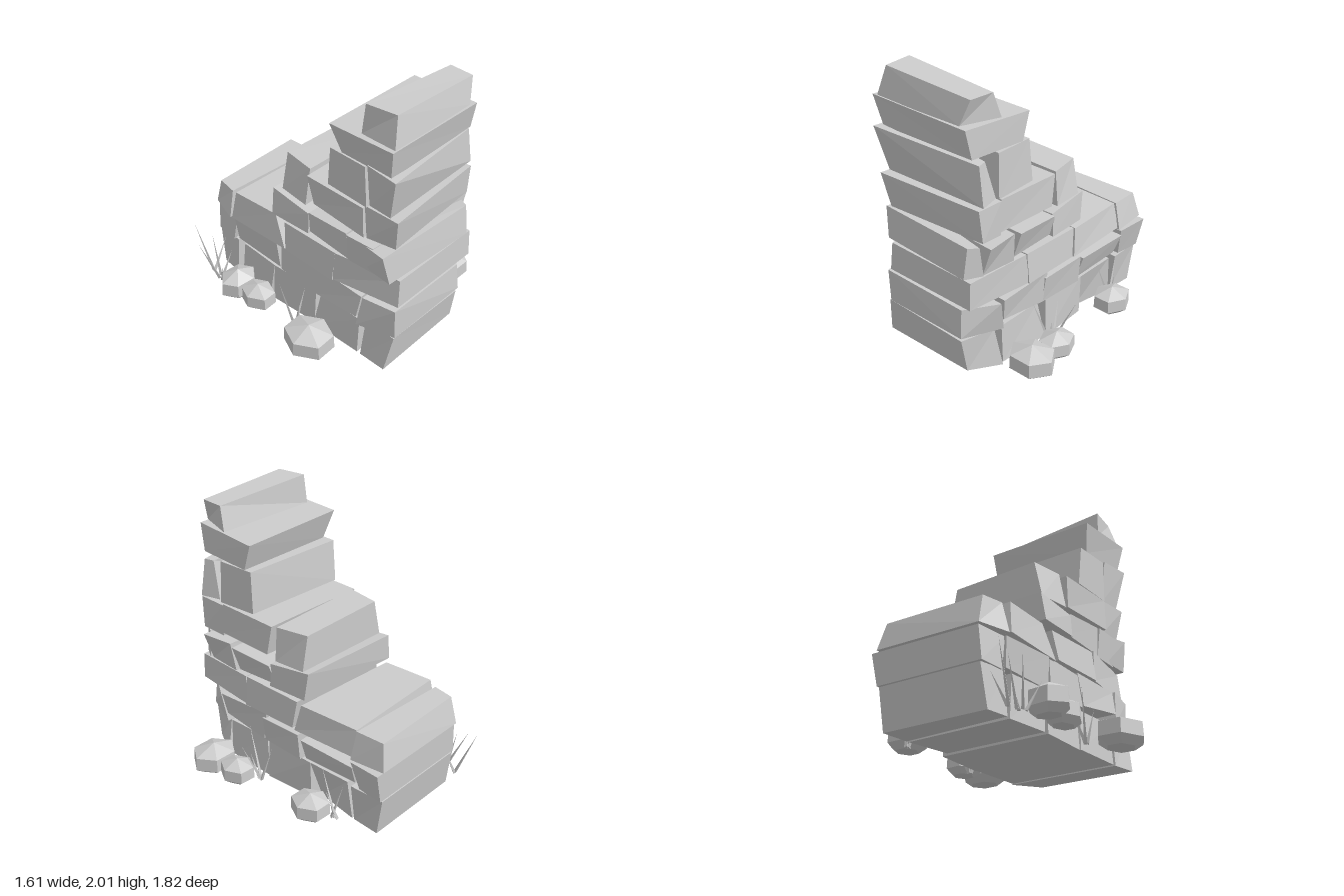
import * as THREE from 'three';

const stone = new THREE.MeshStandardMaterial({ color: 0xcccccc, flatShading: true });
stone.name = 'stone grey';

// Irregular six-sided block. side: z,y of front top, back top, back bottom, front bottom at +x.
// right / left: x of the same four corners; skew: z shift of the -x corners, then y shift of its top.
function blockGeometry(side, right, left, skew) {
  const pos = [];
  for (let i = 0; i < 4; i++) pos.push(right[i], side[2 * i + 1], side[2 * i]);
  for (let i = 0; i < 4; i++) {
    pos.push(left[i], side[2 * i + 1] + (i < 2 ? skew[4] : 0), side[2 * i] + skew[i]);
  }
  const index = [3, 2, 1, 3, 1, 0, 4, 5, 6, 4, 6, 7];
  for (let i = 0; i < 4; i++) {
    const j = (i + 1) % 4;
    index.push(i, j, j + 4, i, j + 4, i + 4);
  }
  const g = new THREE.BufferGeometry();
  g.setAttribute('position', new THREE.Float32BufferAttribute(pos, 3));
  g.setIndex(index);
  const flat = g.toNonIndexed();
  flat.computeVertexNormals();
  return flat;
}

function addCourse(parent, name, blocks) {
  const course = new THREE.Group();
  course.name = name;
  for (const [side, right, left, skew = [0, 0, 0, 0, 0]] of blocks) {
    const m = new THREE.Mesh(blockGeometry(side, right, left, skew), stone);
    m.name = 'stoneBlock';
    course.add(m);
  }
  parent.add(course);
}

// Squashed six-sided boulder with a pointed top, corners towards the sides
function addBoulder(parent, x, z, rx, rz, y, h, turn) {
  const profile = [[0, 0], [0.6, 0.02], [1, 0.25], [0.97, 0.72], [0, 1]]
    .map(([a, b]) => new THREE.Vector2(a, b));
  const g = new THREE.LatheGeometry(profile, 6);
  g.rotateY(Math.PI / 6 + turn);
  g.scale(rx, h, rz);
  const m = new THREE.Mesh(g, stone);
  m.name = 'boulder';
  m.position.set(x, y, z);
  parent.add(m);
}

// Grass blades: slim three-sided spikes from a base to a tip
function addTuft(parent, blades) {
  const tuft = new THREE.Group();
  tuft.name = 'grassTuft';
  for (const [bx, bz, tx, ty, tz] of blades) {
    const base = new THREE.Vector3(bx, 0, bz);
    const dir = new THREE.Vector3(tx, ty, tz).sub(base);
    const g = new THREE.ConeGeometry(0.014, dir.length(), 3);
    g.translate(0, dir.length() / 2, 0);
    const m = new THREE.Mesh(g, stone);
    m.name = 'grassBlade';
    m.position.copy(base);
    m.quaternion.setFromUnitVectors(new THREE.Vector3(0, 1, 0), dir.normalize());
    tuft.add(m);
  }
  parent.add(tuft);
}

export function createModel() {
  const model = new THREE.Group();
  model.name = 'steppedStoneStack';

  // Courses from the ground up, blocks listed front to back
  addCourse(model, 'course1', [
    [[.9, .26, .66, .27, .64, 0, .86, .01], [.30, .37, .43, .31], [-.39, -.40, -.43, -.44], [.01, .01, .01, .01, .03]],
    [[.62, .29, .25, .29, .2, 0, .62, 0], [.40, .39, .42, .41], [-.41, -.40, -.43, -.43]],
    [[.2, .3, -.2, .3, -.2, 0, .2, 0], [.42, .41, .40, .43], [-.40, -.42, -.44, -.42]],
    [[-.2, .3, -.54, .3, -.57, 0, -.24, 0], [.41, .40, .38, .33], [-.42, -.40, -.41, -.44]],
    [[-.59, .3, -.85, .29, -.8, 0, -.59, 0], [.42, .40, .39, .38], [-.40, -.38, -.40, -.42], [-.02, .02, .02, -.02, 0]],
  ]);
  addCourse(model, 'course2', [
    [[.89, .5, .67, .51, .63, .29, .91, .29], [.30, .45, .43, .31], [-.39, -.44, -.46, -.38], [.02, 0, 0, 0, .03]],
    [[.65, .53, .2, .54, .24, .31, .63, .36], [.46, .44, .43, .43], [-.43, -.42, -.44, -.46]],
    [[.23, .5, -.13, .52, -.13, .31, .24, .3], [.45, .46, .44, .42], [-.42, -.41, -.42, -.43], [0, 0, 0, 0, .02]],
    [[-.16, .49, -.62, .48, -.6, .32, -.15, .31], [.46, .45, .39, .40], [-.43, -.42, -.40, -.41], [0, 0, 0, 0, .04]],
    [[-.61, .52, -.86, .53, -.85, .3, -.65, .29], [.45, .47, .42, .40], [-.40, -.37, -.39, -.41], [0, .02, .02, 0, 0]],
  ]);
  addCourse(model, 'course3', [
    [[.9, .75, .41, .76, .39, .54, .91, .55], [.40, .43, .44, .40], [-.34, -.43, -.44, -.36], [0, 0, 0, 0, .01]],
    [[.4, .76, -.09, .75, -.06, .54, .4, .54], [.43, .42, .44, .45], [-.42, -.41, -.44, -.45]],
    [[-.12, .73, -.6, .73, -.61, .54, -.08, .53], [.41, .38, .42, .44], [-.40, -.42, -.45, -.43], [-.07, .02, 0, 0, .035]],
    [[-.61, .73, -.83, .73, -.87, .54, -.6, .53], [.39, .38, .42, .44], [-.40, -.37, -.38, -.45], [-.03, .03, .02, -.03, .01]],
  ]);
  addCourse(model, 'course4', [
    [[.88, .98, .81, .97, .8, .77, .91, .76], [.36, .40, .42, .35], [-.45, -.42, -.40, -.41], [-.04, -.15, -.15, -.04, 0]],
    [[.79, .98, .54, .98, .52, .76, .79, .76], [.48, .45, .42, .40], [-.42, -.43, -.41, -.40], [-.06, -.03, -.02, -.06, 0]],
    [[.5, .97, .15, .95, .12, .8, .5, .77], [.47, .45, .41, .40], [-.42, -.41, -.40, -.41], [0, 0, 0, 0, .01]],
    [[.15, .96, -.19, 1, -.16, .79, .15, .79], [.43, .41, .42, .44], [-.41, -.40, -.43, -.42], [0, -.01, -.03, 0, -.01]],
  ]);
  addCourse(model, 'course5', [
    [[.84, 1.25, .63, 1.24, .64, 1, .82, 1.02], [.43, .42, .42, .44], [-.40, -.39, -.38, -.36], [.07, 0, 0, .05, .02]],
    [[.63, 1.25, .13, 1.25, .17, 1.03, .64, 1.02], [.42, .43, .44, .42], [-.41, -.40, -.38, -.41]],
    [[.1, 1.25, -.14, 1.25, -.14, 1, .1, 1], [.41, .36, .41, .43], [-.35, -.31, -.37, -.40], [.01, 0, 0, .01, .02]],
  ]);
  addCourse(model, 'course6', [
    [[.81, 1.54, .74, 1.54, .67, 1.27, .82, 1.27], [.41, .39, .41, .45], [-.44, -.41, -.38, -.39], [.1, -.08, -.01, .02, .05]],
    [[.64, 1.57, .35, 1.57, .33, 1.27, .65, 1.26], [.41, .40, .41, .42], [-.41, -.40, -.39, -.40], [0, -.01, -.02, 0, 0]],
  ]);
  addCourse(model, 'course7', [
    [[.88, 1.78, .35, 1.76, .41, 1.57, .84, 1.58], [.37, .40, .40, .38], [-.45, -.44, -.39, -.41], [.01, .02, .02, .01, .02]],
  ]);
  addCourse(model, 'capstone', [
    [[.83, 1.96, .65, 1.96, .6, 1.79, .87, 1.79], [.37, .38, .40, .31], [-.36, -.39, -.40, -.42], [.01, -.03, 0, .01, .04]],
  ]);

  // Boulders along both flanks: x, z, x radius, z radius, base, height, turn
  addBoulder(model, -.64, .36, .165, .19, .01, .22, .05);
  addBoulder(model, -.59, -.42, .15, .12, .02, .22, -.1);
  addBoulder(model, -.57, -.23, .115, .145, .01, .19, .05);
  addBoulder(model, .575, -.36, .13, .145, .02, .19, 0);
  addBoulder(model, .63, .32, .12, .135, .02, .18, -.05);
  addBoulder(model, .63, .57, .175, .15, .01, .21, 0);

  // Grass tufts: base x, base z, tip x, y, z
  addTuft(model, [
    [-.54, -.76, -.57, .38, -.91], [-.57, -.66, -.65, .3, -.78], [-.53, -.76, -.4, .25, -.76],
    [-.54, -.68, -.53, .34, -.76], [-.57, -.63, -.63, .2, -.55], [-.54, -.66, -.46, .22, -.63]]);
  addTuft(model, [
    [-.53, .1, -.57, .35, 0], [-.52, .11, -.42, .28, .11], [-.53, .12, -.55, .25, .18]]);
  addTuft(model, [
    [.5, .22, .69, .39, .19], [.5, .21, .47, .3, .12], [.49, .23, .45, .38, .37], [.5, .24, .54, .22, .27]]);
  addTuft(model, [
    [.46, -.48, .44, .36, -.34], [.47, -.46, .45, .3, -.55], [.46, -.5, .52, .25, -.45]]);

  return model;
}
